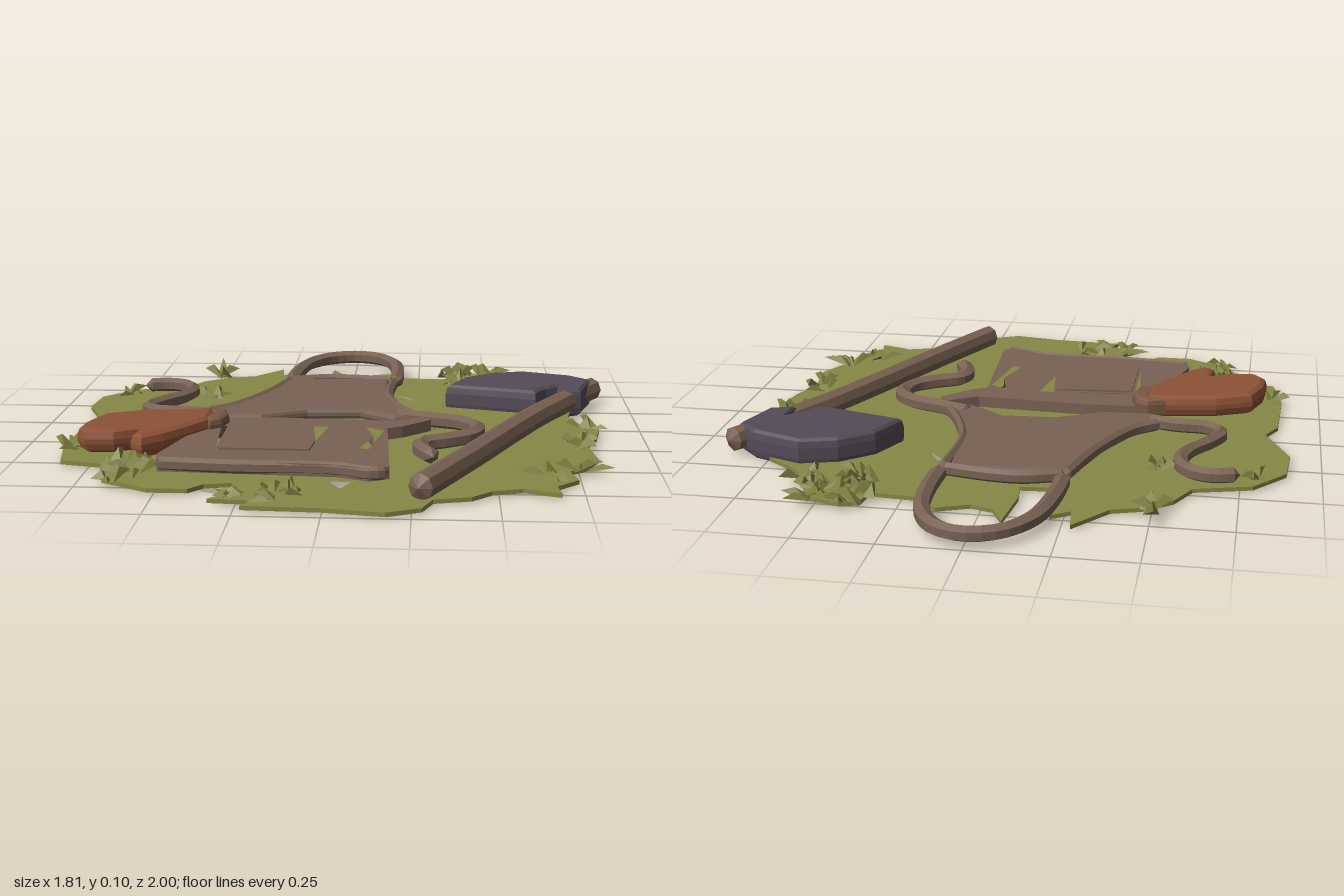
import * as THREE from 'three';

const mat = (name, color, side = THREE.FrontSide) => {
  const m = new THREE.MeshStandardMaterial({ color, side, flatShading: true });
  m.name = name;
  return m;
};

// Points are [x, z] on the ground plan.
const trace = (path, pts) => {
  pts.forEach(([x, z], i) => (i ? path.lineTo(x, -z) : path.moveTo(x, -z)));
  path.closePath();
  return path;
};

// Flat slab with a plan outline, lying between y0 and y1, with an optional inset bevel.
function slab(name, material, pts, y0, y1, { holes = [], bevel = 0, rise = bevel } = {}) {
  const shape = trace(new THREE.Shape(), pts);
  shape.holes = holes.map((h) => trace(new THREE.Path(), h));
  const geo = new THREE.ExtrudeGeometry(shape, {
    depth: y1 - y0 - 2 * rise, bevelEnabled: bevel > 0, bevelSegments: 2,
    bevelSize: bevel, bevelOffset: -bevel, bevelThickness: rise, curveSegments: 1,
  });
  geo.rotateX(-Math.PI / 2).translate(0, y0 + rise, 0);
  const mesh = new THREE.Mesh(geo, material);
  mesh.name = name;
  return mesh;
}

// Faceted strap along [x, z] points; half width w, half height h, closed at both ends.
function strap(name, material, pts, y, w, h, { segs = 36, sides = 6 } = {}) {
  const curve = new THREE.CatmullRomCurve3(pts.map(([x, z]) => new THREE.Vector3(x, 0, z)));
  const geo = new THREE.TubeGeometry(curve, segs, w, sides);
  const p = geo.attributes.position;
  const ring = sides + 1;
  const ends = [curve.getPointAt(0), curve.getPointAt(1)];
  for (let i = 0; i < p.count; i++) {
    p.setY(i, (p.getY(i) * h) / w);
    if (i < ring) p.setXYZ(i, ends[0].x, 0, ends[0].z);
    if (i >= p.count - ring) p.setXYZ(i, ends[1].x, 0, ends[1].z);
  }
  geo.translate(0, y, 0);
  const mesh = new THREE.Mesh(geo, material);
  mesh.name = name;
  return mesh;
}

// Bent leaf blades scattered round a spot.
function tuft(material, x, z, spread, count, height, rand) {
  const v = [];
  for (let i = 0; i < count; i++) {
    const a = rand() * Math.PI * 2, r = spread * Math.sqrt(rand());
    const cx = x + Math.cos(a) * r, cz = z + Math.sin(a) * r;
    const b = rand() * Math.PI * 2, len = 0.04 + rand() * 0.05, w = 0.016 + rand() * 0.01;
    const dx = Math.cos(b), dz = Math.sin(b), top = 0.03 + height * (0.4 + 0.6 * rand());
    const L = [cx - dz * w, 0.027, cz + dx * w], R = [cx + dz * w, 0.027, cz - dx * w];
    const M = [cx + dx * len * 0.5, top, cz + dz * len * 0.5];
    const T = [cx + dx * len, top * 0.8, cz + dz * len];
    v.push(...L, ...M, ...R, ...L, ...T, ...M, ...R, ...M, ...T);
  }
  const geo = new THREE.BufferGeometry();
  geo.setAttribute('position', new THREE.Float32BufferAttribute(v, 3));
  geo.computeVertexNormals();
  const mesh = new THREE.Mesh(geo, material);
  mesh.name = 'grassTuft';
  return mesh;
}

export function createModel() {
  const model = new THREE.Group();
  model.name = 'apronMittenAndAxeOnGrass';
  let seed = 7;
  const rand = () => (seed = (seed * 16807) % 2147483647) / 2147483647;

  const grass = mat('grass green', 0x868845);
  const leaf = mat('leaf green', 0x7f8140, THREE.DoubleSide);
  const cloth = mat('apron brown', 0x786253);
  const wood = mat('wood brown', 0x7a6252);
  const rust = mat('mitten rust', 0x8c5236);
  const cuff = mat('cuff brown', 0x7a5745);
  const iron = mat('iron purple grey', 0x544b56);

  // Ragged grass patch with a few open slits
  const outline = [
    [-0.08, -0.82], [-0.04, -0.74], [0.03, -0.72], [0.13, -0.76], [0.2, -0.69], [0.35, -0.68], [0.36, -0.75],
    [0.42, -0.77], [0.53, -0.74], [0.57, -0.64], [0.62, -0.54], [0.74, -0.45], [0.8, -0.3], [0.77, -0.12],
    [0.8, -0.02], [0.86, 0.04], [0.84, 0.16], [0.8, 0.26], [0.82, 0.42], [0.77, 0.52], [0.72, 0.56], [0.74, 0.65],
    [0.67, 0.72], [0.68, 0.79], [0.57, 0.75], [0.48, 0.78], [0.42, 0.84], [0.31, 0.87], [0.28, 0.95], [0.18, 1],
    [0.0, 0.97], [-0.23, 0.96], [-0.2, 0.91], [-0.33, 0.9], [-0.26, 0.82], [-0.28, 0.74], [-0.36, 0.76],
    [-0.4, 0.81], [-0.52, 0.81], [-0.67, 0.72], [-0.71, 0.56], [-0.84, 0.53], [-0.87, 0.36], [-0.86, 0.1],
    [-0.82, 0.02], [-0.9, -0.17], [-0.89, -0.32], [-0.79, -0.44], [-0.61, -0.49], [-0.56, -0.59], [-0.47, -0.66],
    [-0.38, -0.69], [-0.28, -0.82], [-0.27, -0.72], [-0.21, -0.76], [-0.21, -0.55], [-0.09, -0.56], [-0.1, -0.64],
  ];
  const slits = [
    [[-0.24, 0.11], [-0.18, 0.1], [-0.11, -0.01], [-0.16, 0.0]],
    [[-0.21, -0.5], [-0.06, -0.53], [-0.1, -0.51], [-0.2, -0.48]],
    [[0.17, -0.4], [0.21, -0.38], [0.25, -0.31]],
    [[0.25, 0.1], [0.35, 0.07], [0.26, 0.06]],
    [[0.0, 0.71], [0.07, 0.71], [0.04, 0.78]],
    [[0.11, 0.47], [0.15, 0.27], [0.12, 0.36]],
  ];
  model.add(slab('grassPatch', grass, outline, 0.015, 0.028, { holes: slits }));

  // Leaf tufts: x, z, spread, count, height
  for (const t of [
    [0.43, -0.68, 0.12, 26, 0.05], [0.55, -0.62, 0.06, 8, 0.05], [0.42, -0.56, 0.05, 6, 0.04],
    [-0.49, -0.68, 0.03, 6, 0.06], [-0.48, -0.33, 0.03, 5, 0.05], [-0.8, -0.36, 0.03, 5, 0.04],
    [-0.61, 0.62, 0.07, 14, 0.06], [-0.64, 0.7, 0.05, 6, 0.04], [-0.15, 0.87, 0.1, 12, 0.035],
    [-0.28, 0.88, 0.04, 5, 0.03], [0.78, 0.27, 0.05, 8, 0.05], [0.76, 0.54, 0.03, 5, 0.04],
    [0.66, 0.64, 0.05, 7, 0.04], [0.82, 0.03, 0.03, 4, 0.04], [-0.83, 0.38, 0.03, 4, 0.04],
  ]) model.add(tuft(leaf, ...t, rand));

  // Apron: bib, waist, skirt, hems, neck loop and ties
  const apron = new THREE.Group();
  apron.name = 'apron';
  model.add(apron);
  const bib = [
    [-0.23, -0.5], [-0.05, -0.51], [0.14, -0.52], [0.15, -0.22], [0.22, -0.04], [0.28, 0.03], [0.18, 0.06],
    [0.06, -0.03], [-0.12, -0.02], [-0.27, 0.06], [-0.44, 0.07], [-0.48, 0.0], [-0.4, -0.06], [-0.31, -0.24],
  ];
  apron.add(slab('bib', cloth, bib, 0.03, 0.066, { bevel: 0.012 }));
  const skirt = [
    [-0.4, 0.12], [-0.2, 0.11], [0.17, 0.13], [0.27, 0.07], [0.3, 0.11], [0.21, 0.2], [0.16, 0.23], [0.18, 0.68],
    [0.12, 0.71], [0.02, 0.67], [-0.52, 0.64], [-0.53, 0.58], [-0.47, 0.35], [-0.38, 0.22],
  ];
  const gaps = [
    [[-0.38, 0.24], [-0.36, 0.23], [-0.36, 0.5]],
    [[-0.35, 0.24], [-0.09, 0.22], [-0.35, 0.25]],
    [[-0.08, 0.22], [-0.03, 0.22], [-0.06, 0.4]],
    [[0.09, 0.22], [0.15, 0.26], [0.11, 0.49], [0.08, 0.48], [0.12, 0.34]],
  ];
  apron.add(slab('skirt', cloth, skirt, 0.03, 0.068, { holes: gaps }));
  apron.add(slab('pocket', cloth, [[-0.35, 0.26], [-0.09, 0.24], [-0.06, 0.42], [-0.07, 0.52], [-0.35, 0.52]], 0.06, 0.074));
  const hems = {
    bibTopHem: [[-0.22, -0.5], [-0.1, -0.54], [0.0, -0.54], [0.16, -0.51]],
    bibLeftHem: [[0.16, -0.51], [0.15, -0.25], [0.2, -0.08], [0.25, 0.02]],
    bibRightHem: [[-0.22, -0.51], [-0.29, -0.27], [-0.39, -0.07], [-0.47, 0.0]],
    skirtHem: [[-0.53, 0.63], [-0.3, 0.65], [0.02, 0.66], [0.13, 0.7], [0.18, 0.68]],
  };
  for (const [name, pts] of Object.entries(hems)) apron.add(strap(name, cloth, pts, 0.052, 0.017, 0.022));
  apron.add(strap('neckLoop', cloth, [
    [-0.22, -0.5], [-0.21, -0.68], [-0.175, -0.84], [-0.1, -0.94], [0, -0.975], [0.09, -0.94], [0.15, -0.84],
    [0.17, -0.7], [0.165, -0.5]], 0.05, 0.027, 0.025, { segs: 30 }));
  apron.add(strap('rightTie', cloth, [
    [-0.42, 0.03], [-0.52, 0.0], [-0.63, -0.01], [-0.675, -0.06], [-0.64, -0.15], [-0.58, -0.24], [-0.56, -0.33],
    [-0.59, -0.4], [-0.66, -0.43], [-0.75, -0.41]], 0.052, 0.025, 0.025));
  apron.add(strap('leftTie', cloth, [
    [0.17, 0.0], [0.3, 0.05], [0.4, 0.09], [0.45, 0.16], [0.43, 0.25], [0.36, 0.31], [0.28, 0.36], [0.27, 0.42],
    [0.31, 0.52]], 0.054, 0.029, 0.026));

  // Mitten with thumb and cuff
  const mitten = new THREE.Group();
  mitten.name = 'mitten';
  model.add(mitten);
  mitten.add(slab('mittenHand', rust, [
    [-0.41, 0.12], [-0.51, 0.13], [-0.65, 0.155], [-0.77, 0.21], [-0.81, 0.32], [-0.815, 0.4], [-0.78, 0.45],
    [-0.69, 0.445], [-0.62, 0.4], [-0.63, 0.48], [-0.59, 0.51], [-0.53, 0.45], [-0.47, 0.36], [-0.41, 0.26],
  ], 0.028, 0.104, { bevel: 0.022, rise: 0.03 }));
  mitten.add(slab('mittenCuff', cuff, [
    [-0.48, 0.12], [-0.42, 0.095], [-0.375, 0.12], [-0.36, 0.18], [-0.375, 0.25], [-0.41, 0.28], [-0.44, 0.24], [-0.42, 0.16],
  ], 0.028, 0.1, { bevel: 0.014, rise: 0.02 }));

  // Axe: tapered handle and a curved blade whose eye wraps the handle
  const axe = new THREE.Group();
  axe.name = 'axe';
  model.add(axe);
  axe.add(strap('axeHandle', wood, [
    [0.265, 0.885], [0.43, 0.52], [0.56, 0.22], [0.66, 0.0], [0.76, -0.19], [0.82, -0.31], [0.885, -0.42]],
  0.063, 0.039, 0.041, { segs: 70, sides: 8 }));
  axe.add(slab('axeHead', iron, [
    [0.35, -0.235], [0.41, -0.37], [0.51, -0.455], [0.63, -0.49], [0.73, -0.455], [0.8, -0.43], [0.87, -0.36],
    [0.82, -0.2], [0.73, -0.175], [0.74, -0.26], [0.7, -0.225], [0.66, -0.15], [0.51, -0.19],
  ], 0.01, 0.108, { bevel: 0.014, rise: 0.03 }));

  return model;
}
